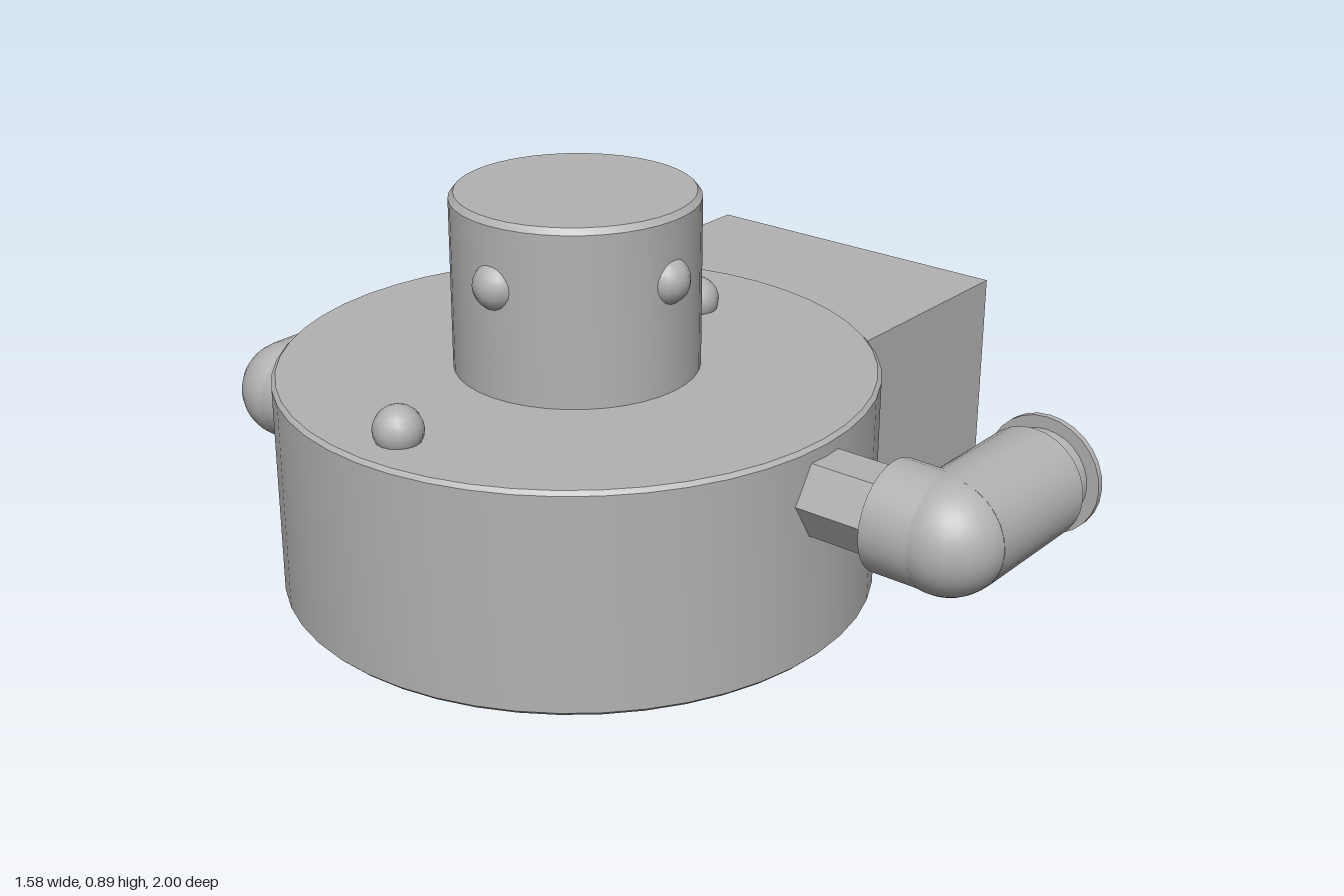
import * as THREE from 'three';
import { toCreasedNormals } from 'three/addons/utils/BufferGeometryUtils.js';

const AXIS_X = -0.185; // x of the main vertical axis

export function createModel() {
  const model = new THREE.Group();
  model.name = 'valveHousing';
  const grey = new THREE.MeshStandardMaterial({ color: 0xb2b2b2 });
  grey.name = 'machinedGrey';

  const add = (parent, name, geometry, x, y, z) => {
    const mesh = new THREE.Mesh(geometry, grey);
    mesh.name = name;
    mesh.position.set(x, y, z);
    parent.add(mesh);
    return mesh;
  };

  // Solid of revolution from [radius, height] pairs, listed bottom to top
  const turned = (points, sides = 40) => toCreasedNormals(
    new THREE.LatheGeometry(points.map(([r, y]) => new THREE.Vector2(r, y)), sides), 0.6);

  // Main drum with slightly broken edges
  add(model, 'drum', turned([[0, 0.08], [0.6, 0.08], [0.608, 0.088],
    [0.608, 0.527], [0.6, 0.535], [0, 0.535]], 48), AXIS_X, 0, 0);

  // Neck above and spigot below
  add(model, 'neck', turned([[0, 0.5], [0.248, 0.5], [0.248, 0.883],
    [0.238, 0.895], [0, 0.895]]), AXIS_X, 0, 0);
  add(model, 'spigot', turned([[0, 0], [0.236, 0], [0.244, 0.008],
    [0.244, 0.1], [0, 0.1]]), AXIS_X, 0, 0);

  // Rectangular side block
  add(model, 'sideBlock', new THREE.BoxGeometry(0.74, 0.435, 0.727), 0.42, 0.2975, 0);

  // Studs on the drum face and around the neck
  const stud = new THREE.SphereGeometry(0.049, 16, 12);
  for (const x of [-0.685, 0.2]) add(model, 'drumStud', stud, x, 0.555, 0);
  for (let i = 0; i < 4; i++) {
    const a = i * Math.PI / 2;
    add(model, 'neckStud', stud, AXIS_X + 0.226 * Math.cos(a), 0.76, 0.226 * Math.sin(a));
  }

  // Elbow fittings, one on each side at different heights
  const tube = (r, length, sides = 28) =>
    toCreasedNormals(new THREE.CylinderGeometry(r, r, length, sides), 0.6);
  const elbow = (name, side, y) => {
    const group = new THREE.Group();
    group.name = name;
    group.position.set(AXIS_X, y, 0);
    model.add(group);

    // Hexagonal stem, corners pointing along x
    const stem = add(group, 'hexStem', tube(0.086, 0.22, 6), 0, 0, side * 0.67);
    stem.rotation.set(Math.PI / 2, Math.PI / 2, 0, 'XYZ');

    // Bend: short inlet, rounded corner and outlet barrel
    const inlet = add(group, 'elbowInlet', tube(0.11, 0.124), 0, 0, side * 0.817);
    inlet.rotation.x = Math.PI / 2;
    add(group, 'elbowCorner', new THREE.SphereGeometry(0.112, 28, 20), 0, 0, side * 0.878);
    const alongX = (part, r, x0, x1) => {
      const mesh = add(group, part, tube(r, x1 - x0), (x0 + x1) / 2, 0, side * 0.879);
      mesh.rotation.z = -Math.PI / 2;
    };
    alongX('elbowBarrel', 0.112, 0, 0.28);
    alongX('collar', 0.094, 0.27, 0.33);
    alongX('endFlange', 0.119, 0.327, 0.34);
  };
  elbow('frontElbow', 1, 0.428);
  elbow('backElbow', -1, 0.235);

  return model;
}
